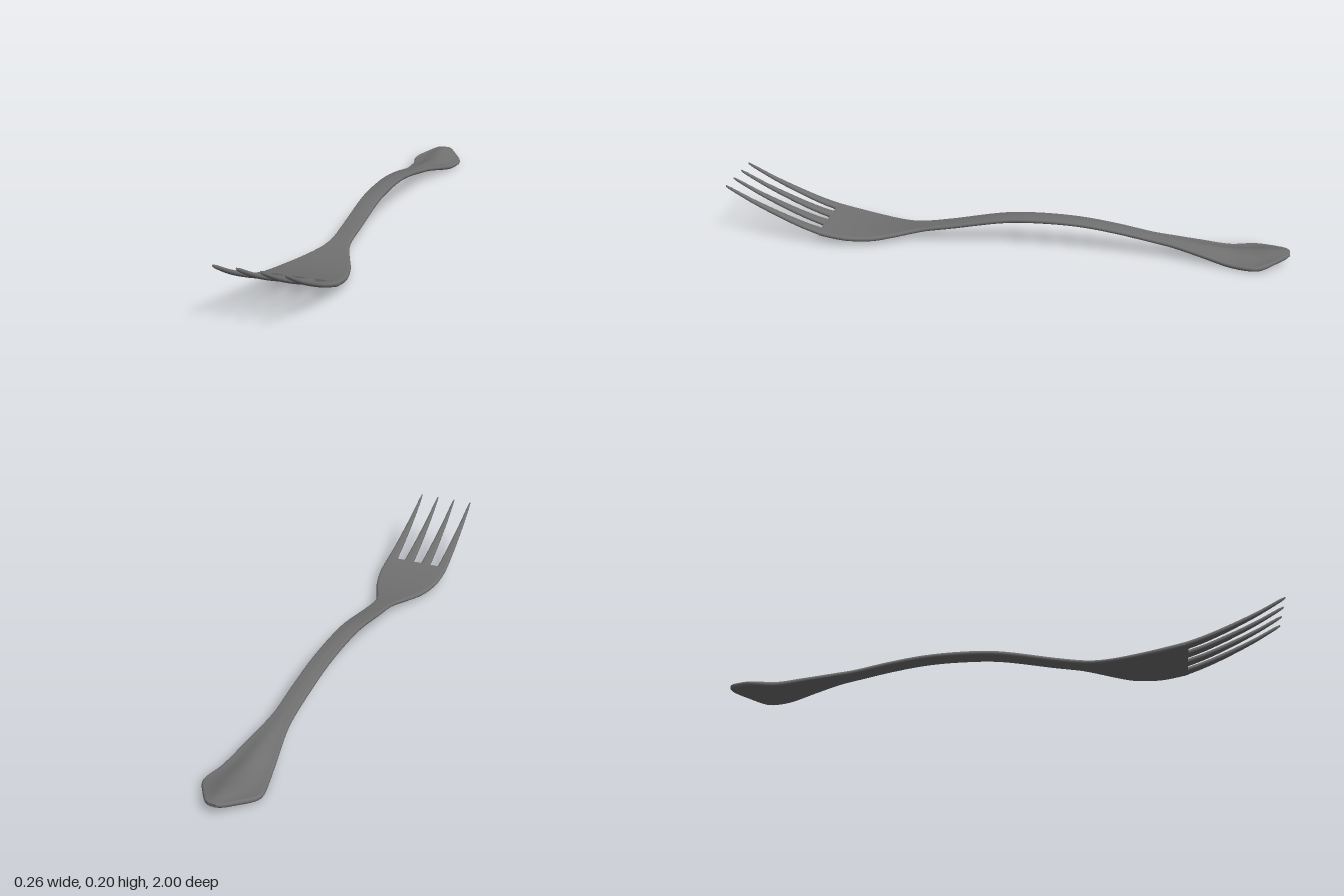
import * as THREE from 'three';

const material = new THREE.MeshStandardMaterial({ color: 0x707070 });

// Smooth interpolation through rows sorted by their first value (z)
function sample(rows, z) {
  let i = 0;
  while (i < rows.length - 2 && z > rows[i + 1][0]) i++;
  const a = rows[i], b = rows[i + 1], h = b[0] - a[0];
  const s = (z - a[0]) / h;
  const slope = (k, c) => {
    const p = rows[Math.max(k - 1, 0)], q = rows[Math.min(k + 1, rows.length - 1)];
    return (q[c] - p[c]) / (q[0] - p[0]);
  };
  return a.map((v, c) => c === 0 ? z :
    v * (1 + 2 * s) * (1 - s) ** 2 + b[c] * s * s * (3 - 2 * s) +
    h * (slope(i, c) * s * (1 - s) ** 2 - slope(i + 1, c) * s * s * (1 - s)));
}

// Flat bar section with round edges, counter-clockwise, edges lowered by droop
function section(w, t, droop) {
  const r = Math.min(w, t), flat = w - r, pts = [];
  for (const side of [1, -1]) {
    for (let k = 0; k <= 8; k++) {
      const a = -Math.PI / 2 + Math.PI * k / 8;
      pts.push([side * (flat + r * Math.cos(a)), side * t * Math.sin(a)]);
    }
    for (let k = 1; k < 12; k++) pts.push([side * flat * (1 - k / 6), side * t]);
  }
  // lowest a little inside the edge, which curls back up
  return pts.map(([x, y]) => [x, y - droop * Math.sin(1.85 * Math.min(1, Math.abs(x) / w)) ** 2]);
}

// Rows: z, spine height, half width, half thickness, droop
function loft(rows, steps, name) {
  const z0 = rows[0][0], z1 = rows[rows.length - 1][0];
  const pos = [], index = [];
  let n = 0;
  for (let i = 0; i <= steps; i++) {
    // denser stations near both ends
    const u = i / steps, e = 0.5 * u + 0.5 * u * u * (3 - 2 * u);
    const [z, y, w, t, d] = sample(rows, z0 + (z1 - z0) * e);
    const slope = (sample(rows, Math.min(z + 0.005, z1))[1] - sample(rows, Math.max(z - 0.005, z0))[1]) / 0.01;
    const len = Math.hypot(1, slope);
    const ring = section(w, t, d);
    n = ring.length;
    for (const [px, py] of ring) pos.push(px, y + py / len, z - py * slope / len);
  }
  for (let i = 0; i < steps; i++) {
    for (let j = 0; j < n; j++) {
      const a = i * n + j, b = i * n + (j + 1) % n;
      index.push(a, b, a + n, b, b + n, a + n);
    }
  }
  // flat caps with their own vertices
  for (const end of [0, steps]) {
    const base = pos.length / 3;
    pos.push(...pos.slice(end * n * 3, (end + 1) * n * 3));
    const [z, y] = sample(rows, end ? z1 : z0);
    pos.push(0, y, z);
    for (let j = 0; j < n; j++) {
      const a = base + j, b = base + (j + 1) % n;
      index.push(base + n, end ? a : b, end ? b : a);
    }
  }
  const geometry = new THREE.BufferGeometry();
  geometry.setAttribute('position', new THREE.Float32BufferAttribute(pos, 3));
  geometry.setIndex(index);
  geometry.computeVertexNormals();
  const mesh = new THREE.Mesh(geometry, material);
  mesh.name = name;
  return mesh;
}

export function createModel() {
  const fork = new THREE.Group();
  fork.name = 'fork';

  // Flared handle end, slim neck and broad head in one sweep
  fork.add(loft([
    [-1.00, 0.037, 0.016, 0.006, 0.000],
    [-0.99, 0.038, 0.032, 0.008, 0.002],
    [-0.95, 0.037, 0.062, 0.009, 0.010],
    [-0.90, 0.031, 0.094, 0.009, 0.016],
    [-0.87, 0.028, 0.099, 0.009, 0.017],
    [-0.80, 0.027, 0.083, 0.009, 0.016],
    [-0.70, 0.040, 0.062, 0.008, 0.009],
    [-0.60, 0.054, 0.042, 0.008, 0.003],
    [-0.53, 0.064, 0.035, 0.008, 0.002],
    [-0.40, 0.088, 0.034, 0.008, 0.002],
    [-0.27, 0.105, 0.034, 0.008, 0.002],
    [-0.13, 0.109, 0.034, 0.009, 0.002],
    [0.00, 0.101, 0.034, 0.009, 0.002],
    [0.20, 0.061, 0.034, 0.008, 0.001],
    [0.29, 0.044, 0.035, 0.008, 0],
    [0.34, 0.035, 0.046, 0.008, 0],
    [0.40, 0.027, 0.070, 0.008, 0],
    [0.47, 0.022, 0.099, 0.009, 0],
    [0.55, 0.026, 0.120, 0.009, 0],
    [0.60, 0.033, 0.126, 0.009, 0],
    [0.66, 0.045, 0.128, 0.009, 0],
  ], 110, 'handleAndHead'));

  // Four tapering tines curving upward
  for (const x of [-0.108, -0.036, 0.036, 0.108]) {
    const tine = loft([
      [0.645, 0.041, 0.020, 0.0085, 0],
      [0.72, 0.066, 0.0175, 0.008, 0],
      [0.80, 0.099, 0.0138, 0.008, 0],
      [0.90, 0.146, 0.0088, 0.007, 0],
      [0.98, 0.190, 0.0042, 0.0055, 0],
      [0.999, 0.201, 0.002, 0.003, 0],
    ], 28, 'tine');
    tine.position.x = x;
    fork.add(tine);
  }
  return fork;
}
